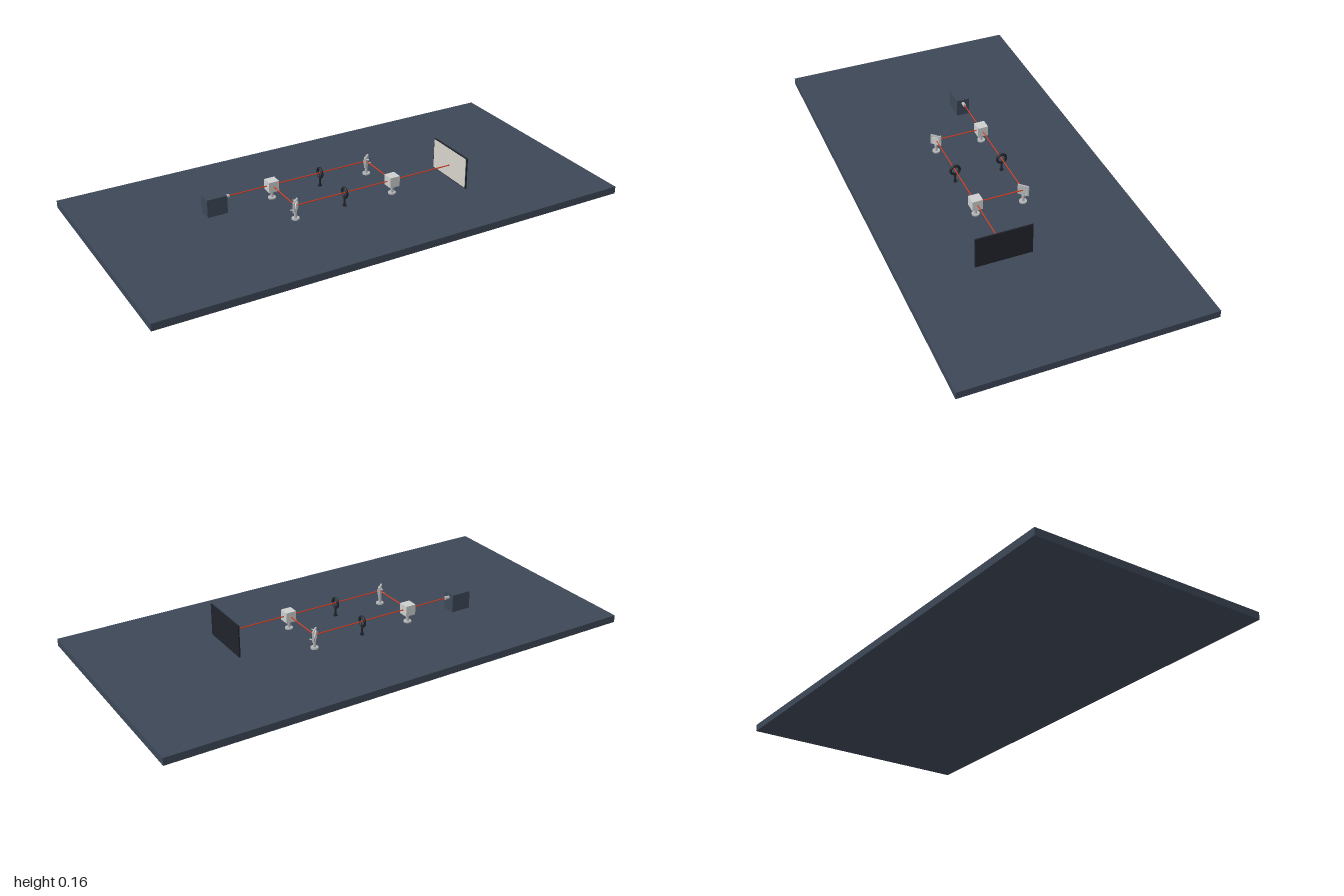
import * as THREE from 'three';

const paint = (name, color, side = THREE.FrontSide) => {
  const m = new THREE.MeshStandardMaterial({ color, side });
  m.name = name;
  return m;
};

export function createModel() {
  const slate = paint('slate', 0x3d4757);
  const black = paint('black', 0x20242b);
  const steel = paint('steel', 0xb4b6b8);
  const glass = paint('glass', 0xcdcfcf);
  const red = paint('beamRed', 0xd63c1e);
  const white = paint('screenWhite', 0xd6d3cb);

  const model = new THREE.Group();
  model.name = 'opticalBench';
  const top = 0.03, beamY = 0.088;
  const xs = [-0.25, 0.185], zs = [-0.1, 0.1];

  const add = (parent, name, geometry, material, x = 0, y = 0, z = 0) => {
    const mesh = new THREE.Mesh(geometry, material);
    mesh.name = name;
    mesh.position.set(x, y, z);
    parent.add(mesh);
    return mesh;
  };
  const box = (w, h, d) => new THREE.BoxGeometry(w, h, d);
  const rod = (r, h, sides = 20) => new THREE.CylinderGeometry(r, r, h, sides);
  const group = (name, x, z) => {
    const g = new THREE.Group();
    g.name = name;
    g.position.set(x, 0, z);
    model.add(g);
    return g;
  };

  // Stand: round foot and post reaching up to a given height
  const stand = (parent, height, material, r = 0.006, foot = 0.016) => {
    add(parent, 'foot', rod(foot, 0.006), material, 0, top + 0.003);
    add(parent, 'post', rod(r, height - top), material, 0, (height + top) / 2);
  };

  // Table
  add(model, 'tableTop', box(2, top, 1), slate, 0, top / 2);

  // Laser with its nozzle
  const laser = group('laser', -0.497, zs[0]);
  add(laser, 'laserBody', box(0.085, 0.075, 0.055), slate, 0, top + 0.0375);
  add(laser, 'laserNozzle', rod(0.007, 0.02), steel, 0.0525, beamY).rotation.z = Math.PI / 2;

  // Beam splitter cubes
  [[xs[0], zs[0]], [xs[1], zs[1]]].forEach(([x, z]) => {
    const g = group('beamSplitter', x, z);
    stand(g, 0.066, steel);
    add(g, 'splitterCube', box(0.044, 0.044, 0.044), glass, 0, beamY);
  });

  // Mirrors set diagonally, mirror faces turned to the inside of the loop
  [[xs[1], zs[0], -3 * Math.PI / 4], [xs[0], zs[1], Math.PI / 4]].forEach(([x, z, turn]) => {
    const g = group('mirrorMount', x, z);
    g.rotation.y = turn;
    stand(g, 0.066, steel);
    add(g, 'mountPlate', box(0.046, 0.044, 0.007), steel, 0, beamY);
    add(g, 'mirrorFace', rod(0.018, 0.004, 28), glass, 0, beamY, 0.0055).rotation.x = Math.PI / 2;
    for (const s of [-1, 1]) {
      add(g, 'adjusterKnob', rod(0.003, 0.012, 12), steel, s * 0.015, beamY + s * 0.014, -0.009).rotation.x = Math.PI / 2;
    }
  });

  // Ring apertures, one in each long arm
  zs.forEach((z) => {
    const g = group('aperture', -0.033, z);
    stand(g, 0.068, black, 0.004, 0.008);
    add(g, 'apertureRing', new THREE.TorusGeometry(0.019, 0.0055, 10, 28), black, 0, beamY).rotation.y = Math.PI / 2;
  });

  // Screen with a pale face towards the beam
  add(model, 'screenBack', box(0.006, 0.133, 0.23), black, 0.464, top + 0.0665, 0.1);
  add(model, 'screenFace', box(0.002, 0.125, 0.222), white, 0.460, top + 0.0665, 0.1);

  // Beams
  const beam = (x0, z0, x1, z1) => {
    const length = Math.hypot(x1 - x0, z1 - z0);
    const mesh = add(model, 'beam', rod(0.0024, length, 8), red, (x0 + x1) / 2, beamY, (z0 + z1) / 2);
    mesh.quaternion.setFromUnitVectors(new THREE.Vector3(0, 1, 0),
      new THREE.Vector3((x1 - x0) / length, 0, (z1 - z0) / length));
  };
  beam(-0.435, zs[0], xs[1], zs[0]);
  beam(xs[0], zs[1], 0.459, zs[1]);
  xs.forEach((x) => beam(x, zs[0], x, zs[1]));

  return model;
}
